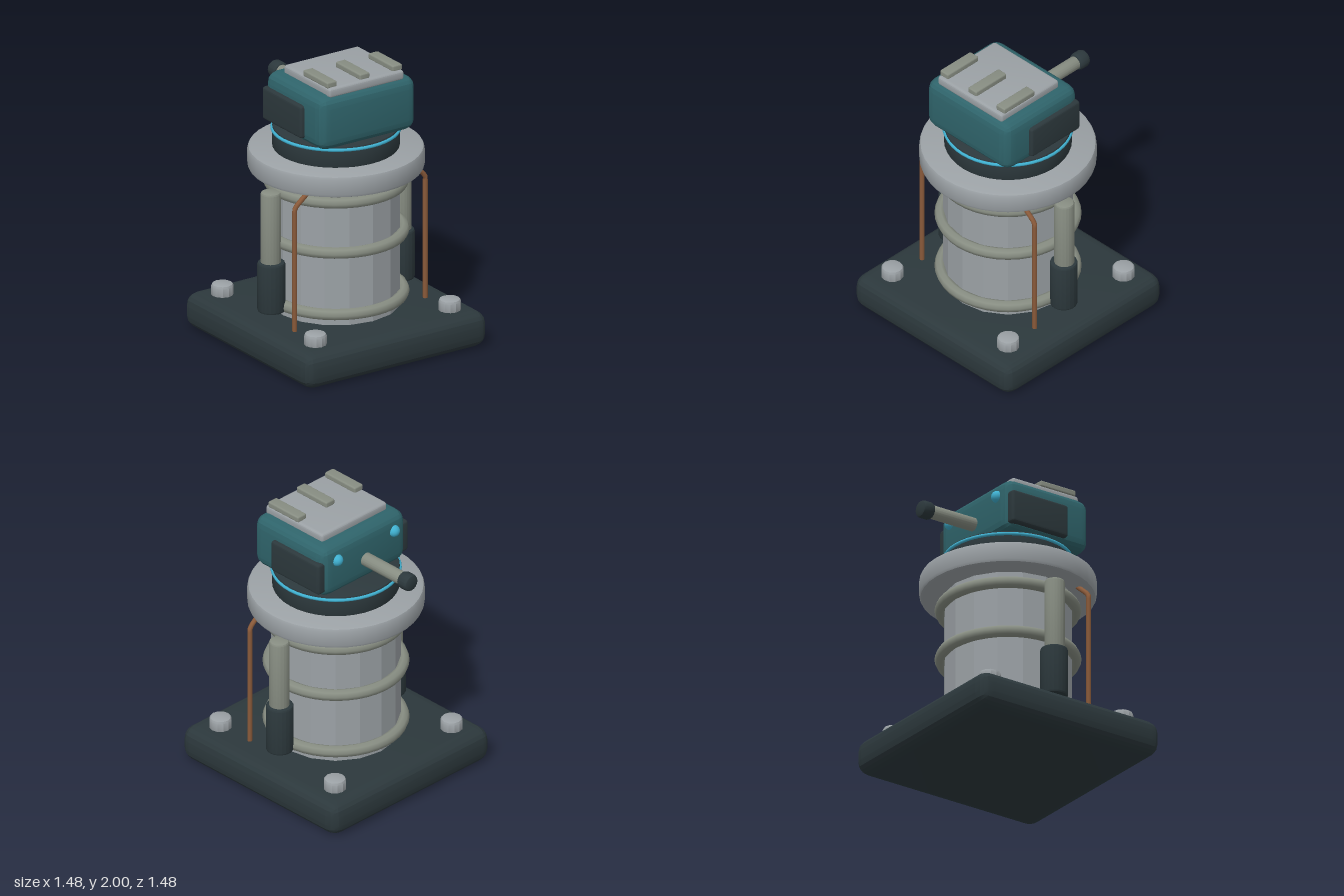
import * as THREE from 'three';
import { RoundedBoxGeometry } from 'three/addons/geometries/RoundedBoxGeometry.js';
import { toCreasedNormals } from 'three/addons/utils/BufferGeometryUtils.js';

const mat = (color, flatShading = false) => new THREE.MeshStandardMaterial({ color, flatShading });

export function createModel() {
  const model = new THREE.Group();
  const dark = mat(0x2c383c), teal = mat(0x2f646b), steel = mat(0x9ba1a5);
  const steelFlat = mat(0x9ba1a5, true), metal = mat(0x878d82);
  const copper = mat(0x8a5a3a), cyan = mat(0x3fb0d0);

  const add = (name, geometry, material, x = 0, y = 0, z = 0, parent = model) => {
    const mesh = new THREE.Mesh(geometry, material);
    mesh.name = name;
    mesh.position.set(x, y, z);
    parent.add(mesh);
    return mesh;
  };
  // Rounded box with faceted bevels
  const box = (w, h, d, r, seg = 2) =>
    toCreasedNormals(new RoundedBoxGeometry(w, h, d, seg, r), 0.3);
  // Upright cylinder with bevelled rims, standing on y = 0
  const drum = (r, h, bevel, sides) => {
    const profile = [
      [0, 0], [r - bevel, 0], [r - bevel * 0.3, bevel * 0.3], [r, bevel],
      [r, h - bevel], [r - bevel * 0.3, h - bevel * 0.3], [r - bevel, h], [0, h],
    ].map(([x, y]) => new THREE.Vector2(x, y));
    return toCreasedNormals(new THREE.LatheGeometry(profile, sides), 0.5);
  };

  // Base plate with four bolts
  add('base', box(1.48, 0.25, 1.48, 0.09), dark, 0, 0.125, 0);
  for (const x of [-0.545, 0.545])
    for (const z of [-0.545, 0.545])
      add('bolt', drum(0.076, 0.1, 0.02, 12), steel, x, 0.23, z);

  // Column and its three bands
  add('column', new THREE.CylinderGeometry(0.432, 0.432, 1.02, 16), steelFlat, 0, 0.74, 0);
  for (const y of [0.336, 0.778, 1.138]) {
    const band = add('columnBand', new THREE.TorusGeometry(0.45, 0.041, 8, 40), metal, 0, y, 0);
    band.rotation.x = Math.PI / 2;
  }

  // Flange, turning collar and glowing ring
  add('flange', drum(0.592, 0.155, 0.025, 40), steel, 0, 1.225, 0);
  add('collar', drum(0.427, 0.16, 0.015, 40), dark, 0, 1.372, 0);
  const ring = add('collarRing', new THREE.TorusGeometry(0.427, 0.012, 8, 48), cyan, 0, 1.507, 0);
  ring.rotation.x = Math.PI / 2;

  // Pistons and cables on both sides
  for (const s of [-1, 1]) {
    add('pistonSleeve', drum(0.094, 0.355, 0.015, 20), dark, s * 0.525, 0.303, 0);
    add('pistonRod', drum(0.068, 0.56, 0.015, 20), metal, s * 0.53, 0.6, 0);

    const points = [[0.53, 0.24], [0.53, 1.12], [0.515, 1.145], [0.4, 1.24]]
      .map(([x, y]) => new THREE.Vector3(s * x, y, 0.28));
    const path = new THREE.CurvePath();
    for (let i = 0; i < points.length - 1; i++)
      path.add(new THREE.LineCurve3(points[i], points[i + 1]));
    add('cable', new THREE.TubeGeometry(path, 48, 0.017, 8), copper);
  }

  // Head housing
  const head = new THREE.Group();
  head.name = 'head';
  model.add(head);
  add('housing', box(0.785, 0.385, 0.685, 0.08), teal, 0, 1.718, 0.057, head);
  add('topPlate', box(0.61, 0.07, 0.545, 0.022), steel, 0, 1.927, 0.092, head);
  for (const x of [-0.265, 0, 0.265])
    add('topStrip', box(0.08, 0.044, 0.29, 0.012), metal, x, 1.978, 0.195, head);
  for (const s of [-1, 1]) {
    add('sidePanel', box(0.08, 0.235, 0.46, 0.022), dark, s * 0.382, 1.69, -0.034, head);
    add('rearLamp', new THREE.SphereGeometry(0.042, 16, 12), cyan, s * 0.265, 1.798, -0.28, head);
  }

  // Rear rod with end cap, pointing to -z
  const rod = add('rearRod', drum(0.047, 0.42, 0.005, 20), metal, 0, 1.693, -0.24, head);
  const cap = add('rearRodCap', drum(0.061, 0.095, 0.022, 16), dark, 0, 1.693, -0.632, head);
  rod.rotation.x = cap.rotation.x = -Math.PI / 2;

  return model;
}
